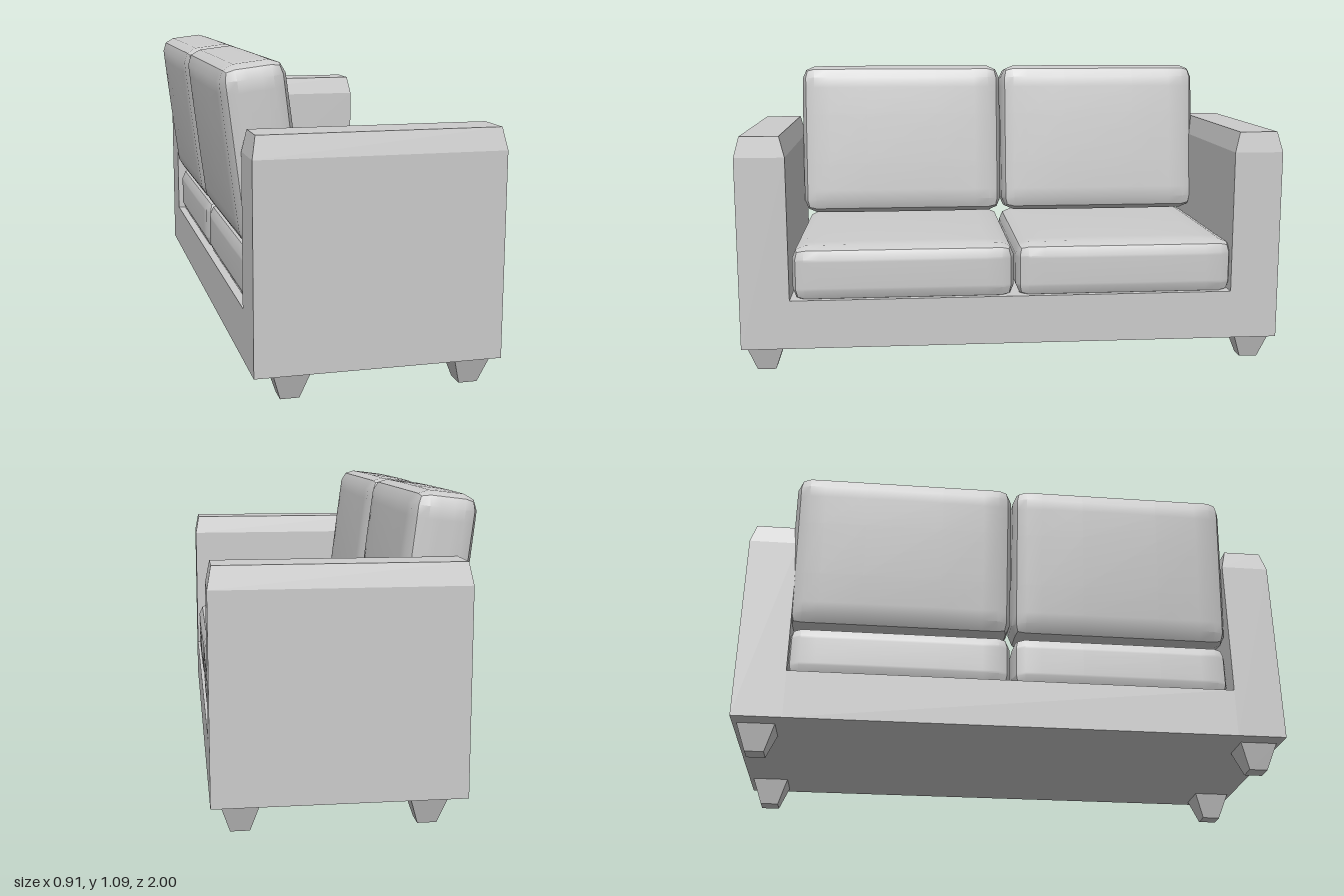
import * as THREE from 'three';
import { toCreasedNormals } from 'three/addons/utils/BufferGeometryUtils.js';

const material = new THREE.MeshStandardMaterial({ color: 0xcccccc });
const flatMaterial = new THREE.MeshStandardMaterial({ color: 0xcccccc, flatShading: true });

// Visit every vertex of a geometry and write back its changed position
function reshape(geometry, change) {
  const pos = geometry.attributes.position;
  const v = new THREE.Vector3();
  for (let i = 0; i < pos.count; i++) {
    change(v.fromBufferAttribute(pos, i));
    pos.setXYZ(i, v.x, v.y, v.z);
  }
  geometry.computeVertexNormals();
  return geometry;
}

function part(name, geometry, mat, x, y, z) {
  const mesh = new THREE.Mesh(geometry, mat);
  mesh.name = name;
  mesh.position.set(x, y, z);
  return mesh;
}

// Padded block: bevelled edges and softly crowned faces
function cushionGeometry(w, h, d, radius, crown) {
  const half = [w / 2, h / 2, d / 2];
  const steps = [-1, -0.84, -0.4, 0.4, 0.84, 1];
  const geometry = new THREE.BoxGeometry(2, 2, 2, 7, 7, 7);
  reshape(geometry, (v) => {
    const inner = new THREE.Vector3();
    const delta = new THREE.Vector3();
    const share = [];
    v.toArray().forEach((p, axis) => {
      const flat = half[axis] - radius;
      const index = Math.round((p + 1) * 3.5);
      const end = index === 0 || index === 7;
      const core = end ? Math.sign(p) * flat : steps[index - 1] * flat;
      inner.setComponent(axis, core);
      delta.setComponent(axis, end ? Math.sign(p) * radius : 0);
      share.push((core + delta.getComponent(axis)) / half[axis]);
    });
    v.copy(inner).add(delta.setLength(radius));
    for (let a = 0; a < 3; a++) {
      const b = share[(a + 1) % 3], c = share[(a + 2) % 3];
      const swell = crown[a] * share[a] * (1 - b * b) * (1 - c * c);
      v.setComponent(a, v.getComponent(a) + swell);
    }
  });
  return toCreasedNormals(geometry, 0.5);
}

// Arm: box with a sloped bevel around its top
function armGeometry() {
  return reshape(new THREE.BoxGeometry(0.845, 0.78, 0.18, 1, 2, 1), (v) => {
    if (v.y > 0.3) {
      v.x -= Math.sign(v.x) * 0.014;
      v.z -= Math.sign(v.z) * 0.02;
    } else if (v.y > -0.1) v.y = 0.315;
  });
}

// Foot: square peg narrowing to the floor
function legGeometry() {
  return reshape(new THREE.BoxGeometry(0.125, 0.095, 0.135), (v) => {
    if (v.y < 0) {
      v.x *= 0.52;
      v.z *= 0.5;
    }
  });
}

export function createModel() {
  const sofa = new THREE.Group();
  sofa.name = 'sofa';

  // Base platform between the arms
  sofa.add(part('base', new THREE.BoxGeometry(0.845, 0.18, 1.64), flatMaterial, 0.032, 0.185, 0));

  const arm = armGeometry();
  const leg = legGeometry();
  const seat = cushionGeometry(0.82, 0.205, 0.815, 0.045, [0.004, 0.012, 0.003]);
  const back = cushionGeometry(0.22, 0.61, 0.822, 0.05, [0.012, 0.004, 0.003]);

  for (const side of [1, -1]) {
    const label = side > 0 ? 'left' : 'right';
    // The seat faces +x, so the arms lie at either end of z
    const end = side > 0 ? 'PositiveZ' : 'NegativeZ';
    sofa.add(part('arm' + end, arm, flatMaterial, 0.032, 0.485, side * 0.91));
    for (const [row, x] of [['front', 0.358], ['rear', -0.262]]) {
      sofa.add(part(row + 'Leg' + end, leg, flatMaterial, x, 0.0475, side * 0.917));
    }
    // Loose cushions, the back ones leaning away from the seat
    sofa.add(part('seatCushion' + end, seat, material, 0.035, 0.365, side * 0.412 - 0.008));
    const rest = part('backCushion' + end, back, material, -0.31, 0.78, side * 0.415 - 0.01);
    rest.rotation.z = 0.122;
    sofa.add(rest);
  }
  return sofa;
}
